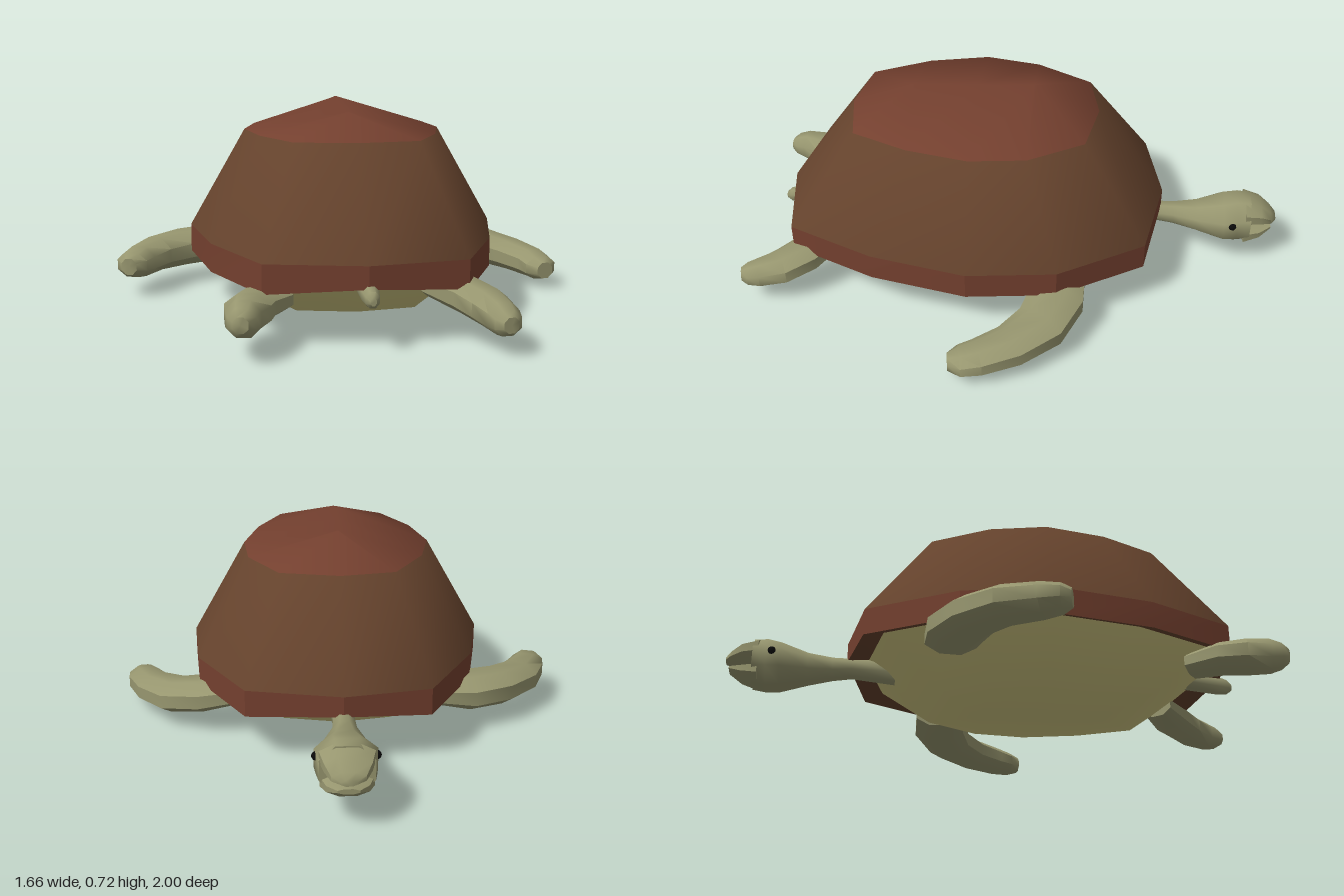
import * as THREE from 'three';
import { toCreasedNormals } from 'three/addons/utils/BufferGeometryUtils.js';

const mat = (color) => new THREE.MeshStandardMaterial({ color, side: THREE.DoubleSide });
const RED = mat(0x74402f), BROWN = mat(0x64422c), SKIN = mat(0x97966f), BELLY = mat(0xcfc680), BLACK = mat(0x0a0a0a);

// Joins successive closed rings of points; each band may use its own material.
function rings(name, list, material, crease = 0.8) {
  const pos = [], geo = new THREE.BufferGeometry(), n = list[0].length;
  for (let r = 0; r + 1 < list.length; r++) {
    const a = list[r], b = list[r + 1];
    if (Array.isArray(material)) geo.addGroup(r * n * 6, n * 6, r);
    for (let i = 0; i < n; i++) {
      const j = (i + 1) % n;
      pos.push(...a[i], ...b[i], ...a[j], ...a[j], ...b[i], ...b[j]);
    }
  }
  geo.setAttribute('position', new THREE.Float32BufferAttribute(pos, 3));
  const mesh = new THREE.Mesh(toCreasedNormals(geo, crease), material);
  mesh.name = name;
  return mesh;
}

// Sweeps a bevelled cross-section through sections [x, y, z, halfWidth, halfHeight], ends closed.
function limb(name, sections, crease = 0.9) {
  const sides = 8, list = [];
  sections.forEach(([x, y, z, w, h], k) => {
    const p = sections[Math.max(k - 1, 0)], q = sections[Math.min(k + 1, sections.length - 1)];
    const len = Math.hypot(q[0] - p[0], q[2] - p[2]);
    const sx = (q[2] - p[2]) / len, sz = -(q[0] - p[0]) / len;
    const ring = Array.from({ length: sides }, (_, i) => {
      const t = -(i + 0.5) / sides * Math.PI * 2, f = 1 / Math.cos(Math.PI / sides);
      const u = Math.cos(t) * w * f, v = Math.sin(t) * h * f;
      return [x + sx * u, y + v, z + sz * u];
    });
    const cap = ring.map(() => [x, y, z]);
    if (k === 0) list.push(cap);
    list.push(ring);
    if (k === sections.length - 1) list.push(cap);
  });
  return rings(name, list, SKIN, crease);
}

// Plan outline of the shell, from the head end round by +x
const OUTLINE = [[0, -0.56], [0.34, -0.49], [0.52, -0.18], [0.555, 0.14], [0.48, 0.49], [0.34, 0.81],
  [0.01, 0.87], [-0.32, 0.81], [-0.48, 0.49], [-0.555, 0.14], [-0.49, -0.18], [-0.31, -0.5]];
const MID = 0.155;
const outline = (s, y) => OUTLINE.map(([x, z], i) => [x * s, typeof y === 'function' ? y(i) : y, MID + (z - MID) * s]);
// Ring collapsed on the centre line, running from the front height to the back height
const ridge = (yFront, yBack) => OUTLINE.map(([, z]) => {
  const c = THREE.MathUtils.clamp(MID + (z - MID) * 0.64, -0.07, 0.39);
  return [0, THREE.MathUtils.mapLinear(c, -0.07, 0.39, yFront, yBack), c];
});

export function createModel() {
  const model = new THREE.Group();
  model.name = 'turtle';

  // Shell
  const lip = (i) => (i % 6 === 0 ? 0.195 : 0.172);
  const shell = new THREE.Group();
  shell.name = 'shell';
  shell.add(
    rings('shellDome', [outline(1, 0.27), outline(0.64, 0.62), ridge(0.72, 0.7)], [BROWN, RED], 1.3),
    rings('shellRim', [outline(1, lip), outline(1, 0.27)], RED, 0.3),
    rings('shellUnderside', [outline(0.88, 0.2), outline(1, lip)], BROWN),
    rings('belly', [ridge(0, 0.01), outline(0.61, 0.047), outline(0.9, 0.2)], BELLY, 1.2)
  );
  model.add(shell);

  // Flippers
  model.add(
    limb('frontLeftFlipper', [[0.38, 0.15, -0.19, 0.09, 0.05], [0.5, 0.13, -0.18, 0.1, 0.06],
      [0.61, 0.105, -0.13, 0.095, 0.06], [0.7, 0.09, -0.03, 0.08, 0.055],
      [0.755, 0.08, 0.08, 0.068, 0.05], [0.768, 0.072, 0.14, 0.06, 0.042], [0.775, 0.07, 0.18, 0.03, 0.03]]),
    limb('frontRightFlipper', [[-0.36, 0.14, -0.2, 0.09, 0.05], [-0.48, 0.13, -0.19, 0.1, 0.065],
      [-0.6, 0.125, -0.14, 0.09, 0.065], [-0.7, 0.12, -0.05, 0.08, 0.06],
      [-0.755, 0.115, 0.06, 0.068, 0.055], [-0.775, 0.115, 0.12, 0.058, 0.045], [-0.785, 0.115, 0.15, 0.03, 0.03]]),
    limb('backLeftFlipper', [[0.24, 0.165, 0.68, 0.06, 0.04], [0.34, 0.145, 0.77, 0.075, 0.055],
      [0.395, 0.125, 0.85, 0.072, 0.055], [0.42, 0.11, 0.93, 0.055, 0.05], [0.425, 0.105, 0.97, 0.045, 0.04],
      [0.43, 0.105, 0.995, 0.025, 0.025]]),
    limb('backRightFlipper', [[-0.26, 0.13, 0.68, 0.06, 0.04], [-0.34, 0.13, 0.77, 0.075, 0.052],
      [-0.365, 0.13, 0.85, 0.075, 0.058], [-0.38, 0.13, 0.93, 0.056, 0.058], [-0.385, 0.13, 0.97, 0.045, 0.045],
      [-0.39, 0.13, 0.995, 0.025, 0.025]]),
    limb('tail', [[0.01, 0.19, 0.68, 0.035, 0.03], [0.015, 0.175, 0.86, 0.028, 0.033],
      [0.017, 0.17, 0.9, 0.022, 0.026], [0.017, 0.168, 0.917, 0.01, 0.012]])
  );

  // Neck and head
  const head = new THREE.Group();
  head.name = 'head';
  head.add(
    limb('neckAndSkull', [[0, 0.165, -0.38, 0.05, 0.045], [0, 0.17, -0.54, 0.037, 0.035], [0, 0.165, -0.61, 0.042, 0.04],
      [0.003, 0.162, -0.7, 0.068, 0.054], [0.005, 0.166, -0.8, 0.104, 0.082],
      [0.005, 0.17, -0.85, 0.098, 0.09], [0.005, 0.172, -0.9, 0.09, 0.085]], 1.2),
    limb('upperJaw', [[0.005, 0.213, -0.88, 0.09, 0.044], [0.005, 0.205, -0.94, 0.076, 0.036],
      [0.005, 0.187, -0.98, 0.055, 0.02], [0.005, 0.18, -1, 0.025, 0.01]]),
    limb('lowerJaw', [[0.005, 0.125, -0.88, 0.088, 0.04], [0.005, 0.13, -0.94, 0.068, 0.026],
      [0.005, 0.144, -0.985, 0.035, 0.009]])
  );
  // Eyes
  for (const side of [-1, 1]) {
    const eye = new THREE.Mesh(new THREE.SphereGeometry(0.015, 10, 8), BLACK);
    eye.name = side > 0 ? 'leftEye' : 'rightEye';
    eye.position.set(0.005 + side * 0.098, 0.19, -0.83);
    head.add(eye);
  }
  model.add(head);
  return model;
}
